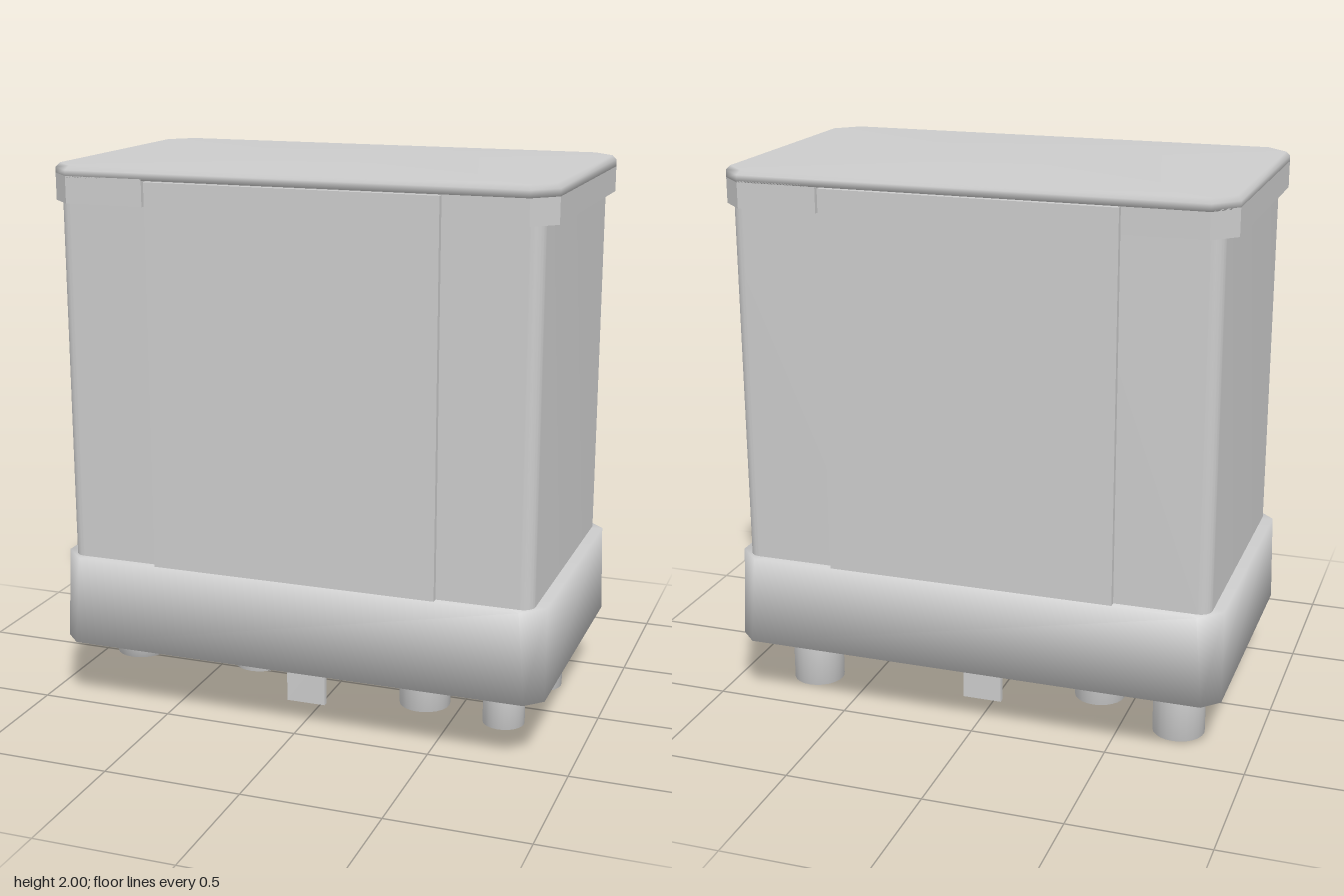
import * as THREE from 'three';
import { mergeVertices, toCreasedNormals } from 'three/addons/utils/BufferGeometryUtils.js';

const grey = () => new THREE.MeshStandardMaterial({ color: 0xcccccc });

function add(group, name, geometry, x = 0, y = 0, z = 0) {
  const mesh = new THREE.Mesh(geometry, grey());
  mesh.name = name;
  mesh.position.set(x, y, z);
  group.add(mesh);
  return mesh;
}

// Merge coincident vertices so shading flows softly over the edges
function soften(geometry) {
  geometry.deleteAttribute('normal');
  geometry.deleteAttribute('uv');
  const merged = mergeVertices(geometry, 1e-4);
  merged.computeVertexNormals();
  return merged;
}

// Eight corners of a rectangle with chamfered corners, as [x, z]
function octagon(w, d, c) {
  return [[w, d - c], [w - c, d], [c - w, d], [-w, d - c], [-w, c - d], [c - w, -d], [w - c, -d], [w, c - d]];
}

// Closed solid through chamfered rectangles, levels = [y, halfWidth, halfDepth, chamfer], bottom to top
function chamferedSolid(levels) {
  const pos = [], index = [];
  for (const [y, w, d, c] of levels) for (const [x, z] of octagon(w, d, c)) pos.push(x, y, z);
  const last = (levels.length - 1) * 8, low = levels.length * 8, high = low + 1;
  pos.push(0, levels[0][0], 0, 0, levels[levels.length - 1][0], 0);
  for (let i = 0; i < 8; i++) {
    const j = (i + 1) % 8;
    for (let k = 0; k < last; k += 8) index.push(k + i, k + 8 + i, k + j, k + j, k + 8 + i, k + 8 + j);
    index.push(low, i, j, high, last + j, last + i);
  }
  const g = new THREE.BufferGeometry();
  g.setAttribute('position', new THREE.Float32BufferAttribute(pos, 3));
  g.setIndex(index);
  g.computeVertexNormals();
  return g;
}

// Upright extrusion of a plan shape from y0 to y1
function upright(shape, y0, y1) {
  const g = new THREE.ExtrudeGeometry(shape, { depth: y1 - y0, bevelEnabled: false, curveSegments: 6 });
  g.rotateX(-Math.PI / 2).translate(0, y0, 0);
  return toCreasedNormals(g, 0.6);
}

function roundedRect(w, d, r) {
  const s = new THREE.Shape(), q = Math.PI / 2;
  s.absarc(w - r, d - r, r, 0, q);
  s.absarc(r - w, d - r, r, q, 2 * q);
  s.absarc(r - w, r - d, r, 2 * q, 3 * q);
  s.absarc(w - r, r - d, r, 3 * q, 4 * q);
  s.closePath();
  return s;
}

export function createModel() {
  const model = new THREE.Group();
  model.name = 'plugInModule';

  // Plinth and housing
  add(model, 'base', chamferedSolid([[0.25, 0.905, 0.537, 0.06], [0.58, 0.9, 0.535, 0.08]]));
  add(model, 'housing', upright(roundedRect(0.86, 0.505, 0.045), 0.57, 1.965));

  // Raised panels on the two broad faces
  for (const side of [1, -1]) {
    add(model, side > 0 ? 'frontPanel' : 'backPanel',
      new THREE.BoxGeometry(1.045, 1.38, 0.06), 0, 1.265, side * 0.498);
  }

  // Lid: thin top plate with a deeper rim at each end
  add(model, 'lidTop', chamferedSolid([
    [1.96, 0.898, 0.53, 0.08], [1.985, 0.898, 0.53, 0.08], [2, 0.885, 0.518, 0.078]]));
  const w = 0.898, d = 0.53, c = 0.08;
  for (const side of [1, -1]) {
    const outline = [[0.53, -d], [w - c, -d], [w, c - d], [w, d - c], [w - c, d], [0.53, d]];
    const rim = new THREE.Shape(outline.map(([x, z]) => new THREE.Vector2(side * x, z)));
    add(model, side > 0 ? 'leftLidRim' : 'rightLidRim', upright(rim, 1.87, 1.965));
  }

  // Round pins under the base: x, z, radius, lower end
  const pins = [
    [0.71, -0.25, 0.095, 0], [-0.71, -0.25, 0.095, 0],
    [0.36, 0.075, 0.095, 0], [-0.365, -0.07, 0.095, 0],
    [-0.71, 0.26, 0.095, 0.14], [0.71, 0.26, 0.075, 0.055]];
  for (const [x, z, r, y] of pins) {
    const h = 0.27 - y;
    add(model, 'pin', soften(new THREE.CylinderGeometry(r, r, h, 24)), x, y + h / 2, z);
  }

  // Flat blades at the middle of the front and back edges
  for (const side of [1, -1]) {
    add(model, 'blade', new THREE.BoxGeometry(0.145, 0.2, 0.02), 0, 0.17, side * 0.37);
  }
  return model;
}
